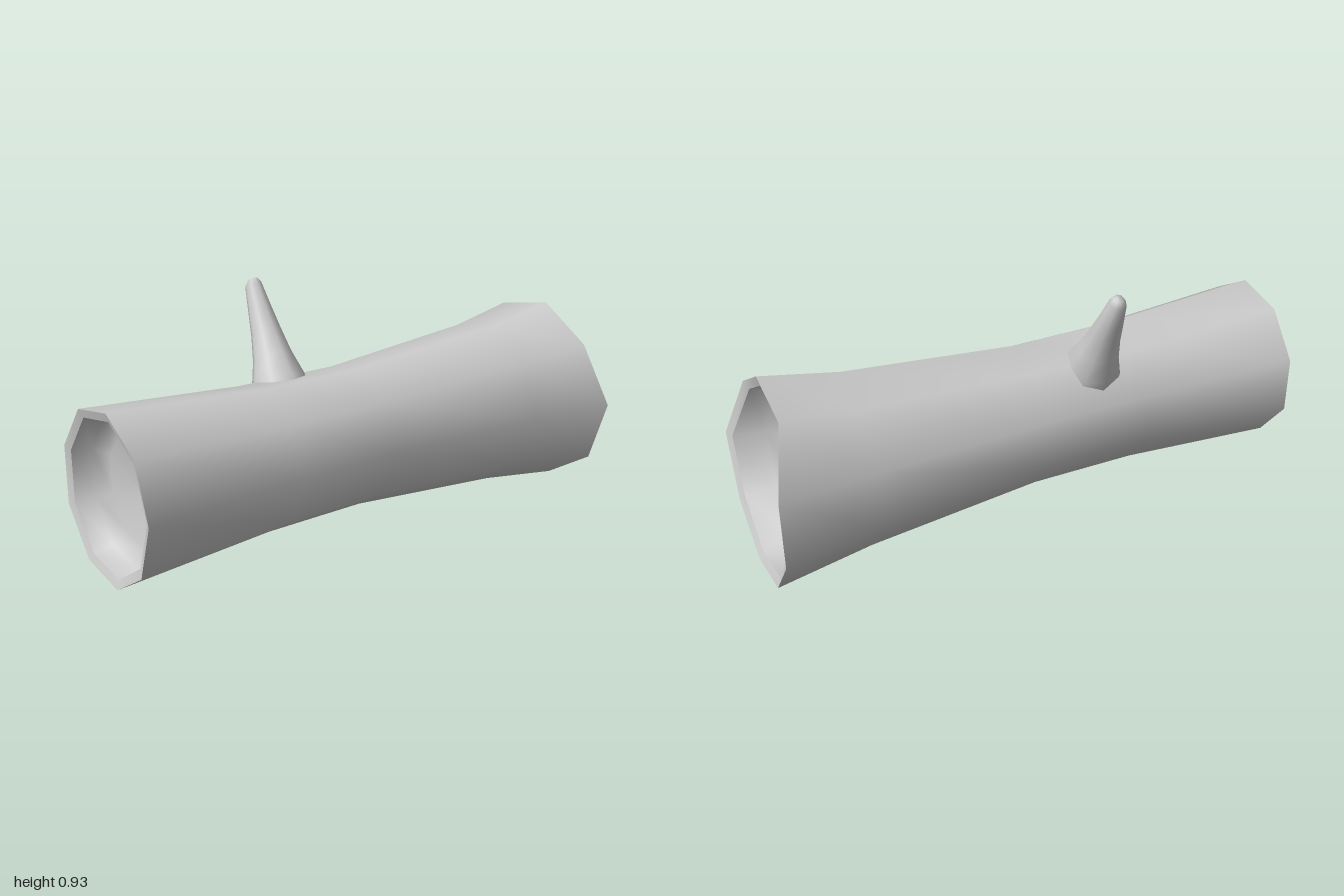
import * as THREE from 'three';

const SIDES = 9;
const material = new THREE.MeshStandardMaterial({ color: 0xcccccc, side: THREE.DoubleSide });

// Skin a list of closed rings (arrays of Vector3) with smooth normals.
function loft(name, rings) {
  const n = rings[0].length;
  const positions = rings.flat().flatMap((p) => [p.x, p.y, p.z]);
  const index = [];
  for (let i = 0; i < rings.length - 1; i++) {
    for (let j = 0; j < n; j++) {
      const k = (j + 1) % n;
      const a = i * n + j, b = i * n + k, c = a + n, d = b + n;
      index.push(a, c, b, b, c, d);
    }
  }
  const geometry = new THREE.BufferGeometry();
  geometry.setAttribute('position', new THREE.Float32BufferAttribute(positions, 3));
  geometry.setIndex(index);
  geometry.computeVertexNormals();
  const mesh = new THREE.Mesh(geometry, material);
  mesh.name = name;
  return mesh;
}

// Nine-sided log section; notch pulls the three top corners forward.
function section(z, rx, notch = 0) {
  const ring = [];
  for (let j = 0; j < SIDES; j++) {
    const a = (j / SIDES) * Math.PI * 2;
    const lift = j >= 1 && j <= 3 ? notch : 0;
    ring.push(new THREE.Vector3(-0.01 + rx * Math.cos(a), 0.37 + rx * 1.06 * Math.sin(a), z + lift));
  }
  return ring;
}
const sections = (list) => list.map((s) => section(...s));

export function createModel() {
  const group = new THREE.Group();

  // Flared bark, narrowest around the middle
  group.add(loft('bark', sections([
    [1, 0.29], [0.4, 0.252], [0, 0.25], [-0.65, 0.302], [-1, 0.351, 0.067],
  ])));

  // Bevelled rims
  group.add(loft('frontRim', sections([[0.99, 0.26], [1, 0.29]])));
  group.add(loft('backRim', sections([[-1, 0.351, 0.067], [-0.985, 0.318, 0.065]])));

  // Hollowed ends
  group.add(loft('frontHollow', sections([
    [0.87, 0.001], [0.88, 0.19], [0.92, 0.245], [0.99, 0.26],
  ])));
  group.add(loft('backHollow', sections([
    [-0.985, 0.318, 0.065], [-0.87, 0.29, 0.03], [-0.82, 0.22], [-0.81, 0.001],
  ])));

  // Tapering branch stub, tip to sunken base: [x, y, z, radius]
  const u = new THREE.Vector3(0.89, 0.46, 0);
  const v = new THREE.Vector3(0, 0, -1);
  const stub = [
    [-0.313, 0.929, 0.217, 0.001], [-0.311, 0.926, 0.217, 0.018], [-0.307, 0.908, 0.217, 0.031],
    [-0.27, 0.83, 0.218, 0.043], [-0.225, 0.75, 0.222, 0.056], [-0.18, 0.67, 0.228, 0.073],
    [-0.135, 0.59, 0.235, 0.1], [-0.1, 0.53, 0.235, 0.105],
  ].map(([x, y, z, r]) => Array.from({ length: 8 }, (_, j) => {
    const a = (j / 8) * Math.PI * 2;
    return new THREE.Vector3(x, y, z)
      .addScaledVector(u, r * Math.cos(a))
      .addScaledVector(v, r * Math.sin(a));
  }));
  group.add(loft('branch', stub));

  return group;
}
